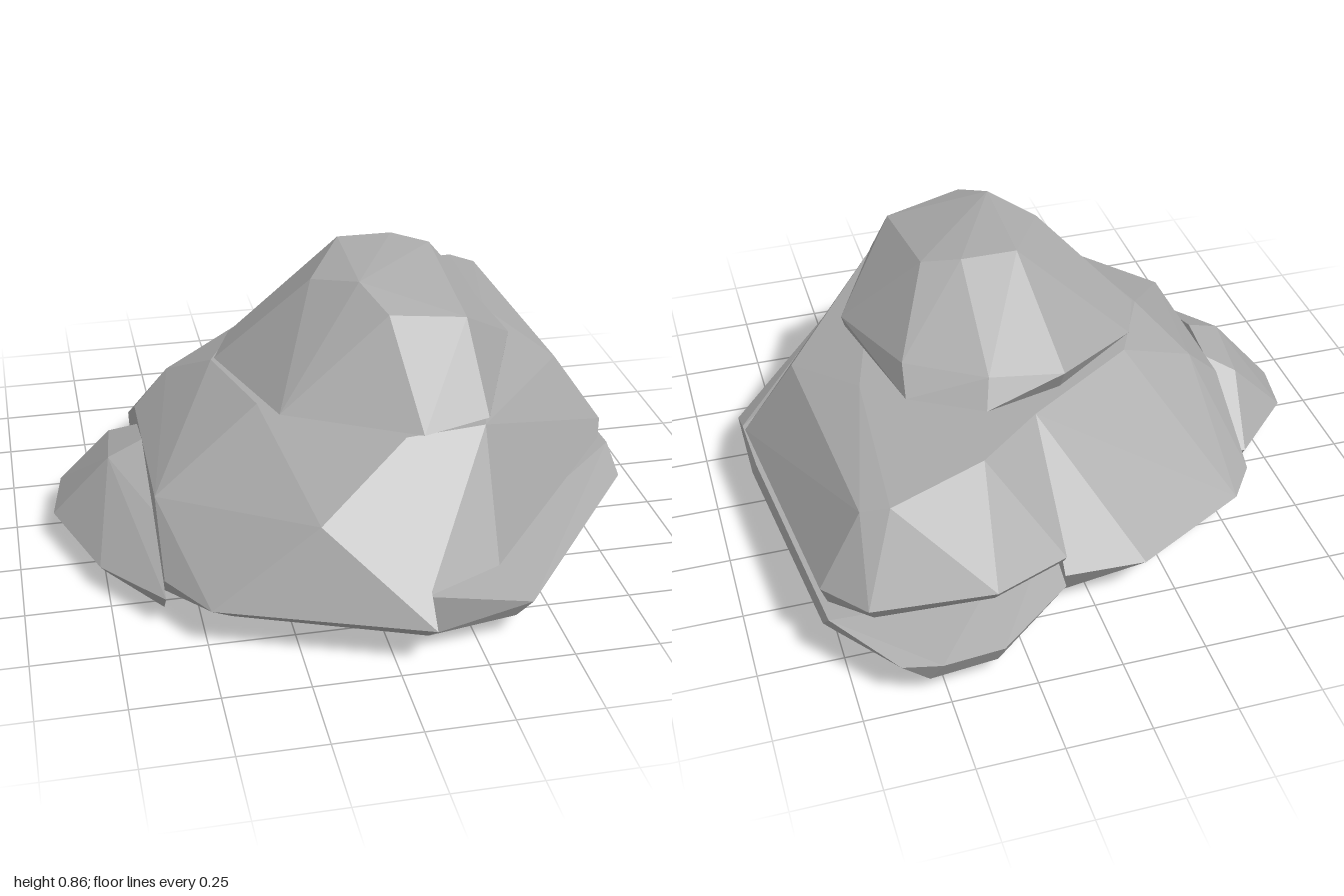
import * as THREE from 'three';
import { ConvexGeometry } from 'three/addons/geometries/ConvexGeometry.js';

// Each stone is the faceted hull of a few corner points [x, y, z]
const stones = {
  capStone: [
    // underside rim
    [-0.36, 0.53, 0], [-0.29, 0.535, -0.17], [0, 0.54, -0.38], [0.22, 0.53, -0.37], [0.54, 0.54, 0.11],
    [0.36, 0.53, 0.55], [0.15, 0.53, 0.62], [-0.23, 0.535, 0.42],
    // shoulder
    [0, 0.62, -0.43], [0.25, 0.58, -0.49], [0.46, 0.59, -0.38], [0.55, 0.58, 0.1], [0.45, 0.66, -0.3], [0.23, 0.66, -0.44],
    // crown
    [0.1, 0.8, 0.38], [0.34, 0.76, 0.35], [0.04, 0.855, 0.25], [-0.08, 0.82, 0.12],
    [0.05, 0.855, -0.11], [0.22, 0.855, -0.11], [0.33, 0.835, -0.06],
  ],
  mainStone: [
    // top, cut level
    [0.1, 0.525, 0.61], [0.1, 0.525, -0.47], [-0.25, 0.525, -0.24], [-0.37, 0.525, 0], [-0.28, 0.525, 0.32],
    // slopes
    [-0.18, 0.365, 0.78], [-0.49, 0.42, -0.18], [-0.6, 0.3, 0.41], [-0.6, 0.31, -0.15],
    // widest ring
    [0.1, 0.13, 1], [-0.49, 0.13, 0.78], [-0.6, 0.13, 0.6], [-0.6, 0.14, -0.44],
    [-0.52, 0.13, -0.55], [-0.15, 0.14, -0.76], [0.1, 0.16, -0.77],
    // base
    [0.1, 0.05, 0.9], [-0.42, 0.04, 0.68], [-0.6, 0.04, 0.5], [-0.2, 0, 0.38],
    [-0.6, 0.04, -0.36], [-0.5, 0.04, -0.48], [-0.15, 0.04, -0.66], [0.1, 0.04, -0.7], [0.1, 0.02, 0.1],
  ],
  sideStone: [
    // top
    [0.1, 0.525, 0.61], [0.34, 0.525, 0.58], [0.56, 0.53, -0.2], [0.3, 0.53, -0.64], [0.1, 0.525, -0.47],
    [0.59, 0.5, -0.73], [0.67, 0.48, -0.7], [0.72, 0.46, 0.06],
    // lower edge
    [0.88, 0.23, 0.08], [0.8, 0.26, -0.73], [0.69, 0.26, -0.86], [0.33, 0.25, -0.88], [0.1, 0.24, -0.78],
    // underside
    [0.1, 0.19, 0.91], [0.33, 0.19, 0.8], [0.86, 0.19, 0.13], [0.78, 0.2, -0.72],
    [0.67, 0.2, -0.82], [0.33, 0.2, -0.84], [0.1, 0.2, -0.75],
  ],
  baseSlab: [
    // top
    [0.1, 0.185, 0.91], [0.88, 0.185, 0.16], [0.87, 0.185, -0.05], [0.79, 0.185, -0.78], [0.35, 0.185, -0.8], [0.1, 0.185, -0.6],
    // rim
    [0.4, 0.13, 0.91], [0.88, 0.13, 0.28], [0.88, 0.12, 0], [0.8, 0.13, -0.73], [0.63, 0.14, -0.97],
    [0.52, 0.145, -1], [0.34, 0.14, -0.98], [0.1, 0.13, -0.78],
    // base
    [0.1, 0.05, 0.9], [0.36, 0.07, 0.88], [0.8, 0.06, 0.25], [0.87, 0.1, 0.24], [0.76, 0.06, -0.7],
    [0.55, 0.065, -0.96], [0.35, 0.065, -0.94], [0.1, 0.04, -0.7], [0.3, 0.04, 0.45], [0.52, 0.035, 0],
  ],
  smallStone: [
    // top
    [-0.603, 0.325, 0.1], [-0.71, 0.285, 0.12], [-0.603, 0.3, -0.05], [-0.69, 0.26, -0.1], [-0.603, 0.23, 0.37],
    // rim
    [-0.77, 0.165, 0.22], [-0.885, 0.085, 0.08], [-0.85, 0.1, -0.11], [-0.65, 0.1, -0.31], [-0.603, 0.1, -0.31],
    [-0.77, 0.08, 0.41], [-0.603, 0.1, 0.65],
    // base
    [-0.84, 0.03, 0.06], [-0.75, 0.03, 0.36], [-0.603, 0.03, 0.58], [-0.68, 0.015, 0.1],
    [-0.81, 0.03, -0.09], [-0.64, 0.03, -0.27], [-0.603, 0.03, -0.27],
  ],
};

export function createModel() {
  const group = new THREE.Group();
  group.name = 'rockPile';
  const stone = new THREE.MeshStandardMaterial({ color: 0xaaaaaa });
  stone.name = 'grey stone';
  for (const [name, corners] of Object.entries(stones)) {
    const mesh = new THREE.Mesh(new ConvexGeometry(corners.map((c) => new THREE.Vector3(...c))), stone);
    mesh.name = name;
    group.add(mesh);
  }
  return group;
}
